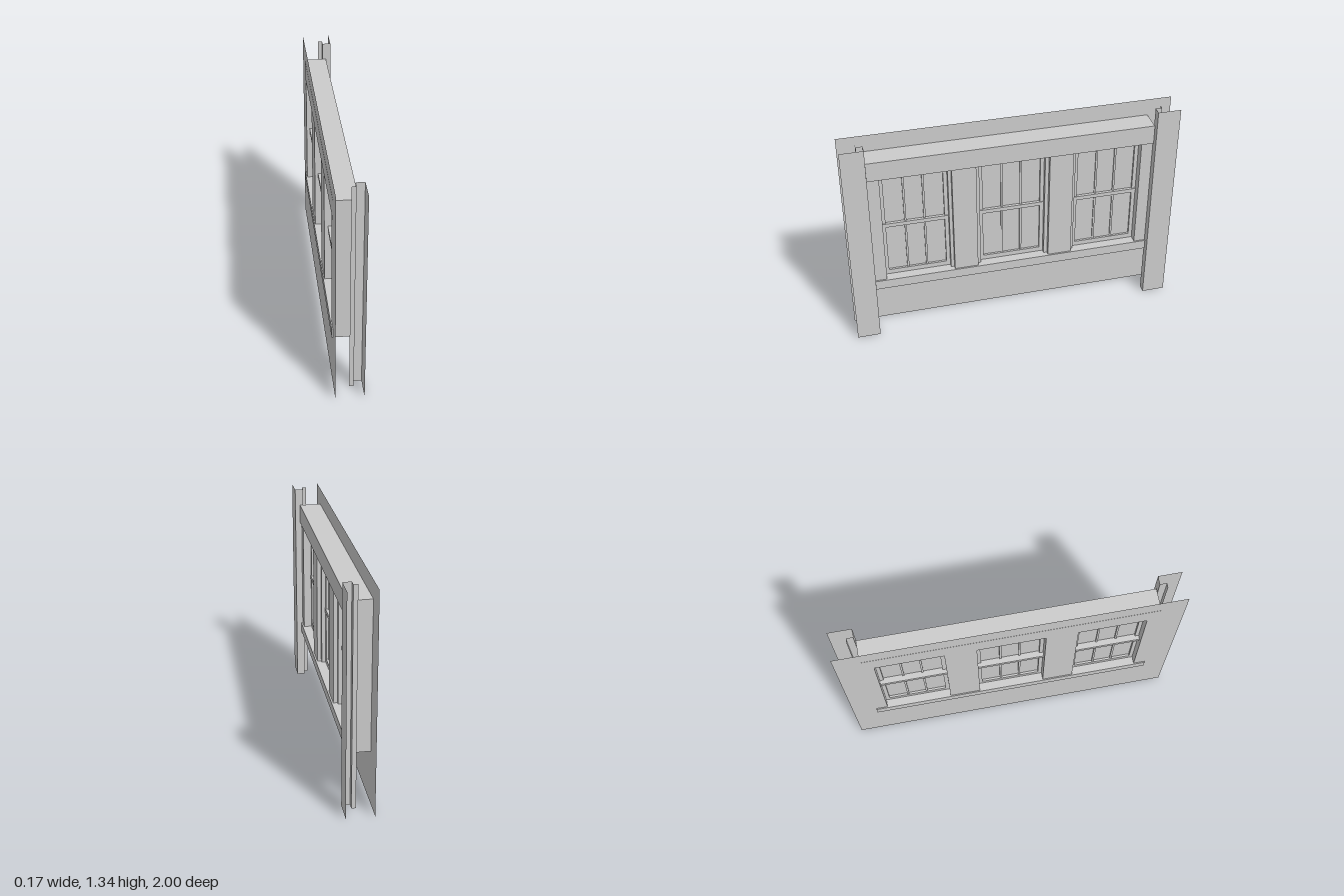
import * as THREE from 'three';

const material = new THREE.MeshStandardMaterial({ color: 0xcccccc, side: THREE.DoubleSide });
const HEIGHT = 1.335;
const SILL_TOP = 0.39, HEAD_BOTTOM = 1.11;

export function createModel() {
  const model = new THREE.Group();
  model.name = 'windowWall';

  // Box given by its limits along each axis
  function box(parent, name, x0, x1, y0, y1, z0, z1) {
    const mesh = new THREE.Mesh(new THREE.BoxGeometry(x1 - x0, y1 - y0, Math.abs(z1 - z0)), material);
    mesh.position.set((x0 + x1) / 2, (y0 + y1) / 2, (z0 + z1) / 2);
    mesh.name = name;
    parent.add(mesh);
  }

  const centres = [0.587, 0, -0.587];

  // Thin wall sheet with one opening per window
  const outline = new THREE.Shape();
  outline.moveTo(-1, 0).lineTo(1, 0).lineTo(1, HEIGHT).lineTo(-1, HEIGHT).closePath();
  for (const c of centres) {
    const hole = new THREE.Path();
    hole.moveTo(c - 0.2, SILL_TOP).lineTo(c - 0.2, HEAD_BOTTOM);
    hole.lineTo(c + 0.2, HEAD_BOTTOM).lineTo(c + 0.2, SILL_TOP).closePath();
    outline.holes.push(hole);
  }
  const wall = new THREE.Mesh(new THREE.ShapeGeometry(outline).rotateY(-Math.PI / 2), material);
  wall.position.x = -0.08;
  wall.name = 'wallSheet';
  model.add(wall);

  // Long sill and head across all windows
  box(model, 'sill', -0.087, 0.055, 0.33, SILL_TOP, -0.857, 0.857);
  box(model, 'head', -0.081, 0.055, HEAD_BOTTOM, 1.23, -0.857, 0.857);

  // Posts, and stepped sheet trim at both ends
  for (const s of [1, -1]) {
    box(model, 'innerPost', -0.08, 0.045, SILL_TOP, HEAD_BOTTOM, s * 0.222, s * 0.367);
    box(model, 'outerPost', -0.079, 0.045, SILL_TOP, HEAD_BOTTOM, s * 0.787, s * 0.857);

    const trim = new THREE.Group();
    trim.name = 'cornerTrim';
    const profile = [[0.085, 1], [0.085, 0.86], [0.035, 0.86], [0.035, 0.9], [0.009, 0.9]];
    for (let i = 1; i < profile.length; i++) {
      const [xa, za] = profile[i - 1], [xb, zb] = profile[i];
      const width = Math.hypot(xb - xa, zb - za);
      const strip = new THREE.Mesh(new THREE.PlaneGeometry(width, HEIGHT), material);
      strip.position.set((xa + xb) / 2, HEIGHT / 2, s * (za + zb) / 2);
      strip.rotation.y = xa === xb ? Math.PI / 2 : s > 0 ? 0 : Math.PI;
      strip.name = 'trimStrip';
      trim.add(strip);
    }
    model.add(trim);
  }

  // Windows: jambs, sash frame, meeting rail, muntins and pane
  for (const c of centres) {
    const win = new THREE.Group();
    win.name = 'window';
    win.position.z = c;
    for (const s of [1, -1]) {
      box(win, 'jamb', -0.08, 0.02, SILL_TOP, HEAD_BOTTOM, s * 0.2, s * 0.222);
      box(win, 'sashStile', -0.035, -0.005, SILL_TOP, HEAD_BOTTOM, s * 0.177, s * 0.2);
      box(win, 'muntin', -0.03, -0.01, 0.42, 1.085, s * 0.058 - 0.006, s * 0.058 + 0.006);
    }
    box(win, 'bottomRail', -0.035, -0.005, SILL_TOP, 0.42, -0.177, 0.177);
    box(win, 'topRail', -0.035, -0.005, 1.085, HEAD_BOTTOM, -0.177, 0.177);
    box(win, 'meetingRail', -0.06, 0, 0.738, 0.763, -0.2, 0.2);
    box(win, 'pane', -0.022, -0.018, 0.42, 1.085, -0.177, 0.177);
    model.add(win);
  }

  return model;
}
